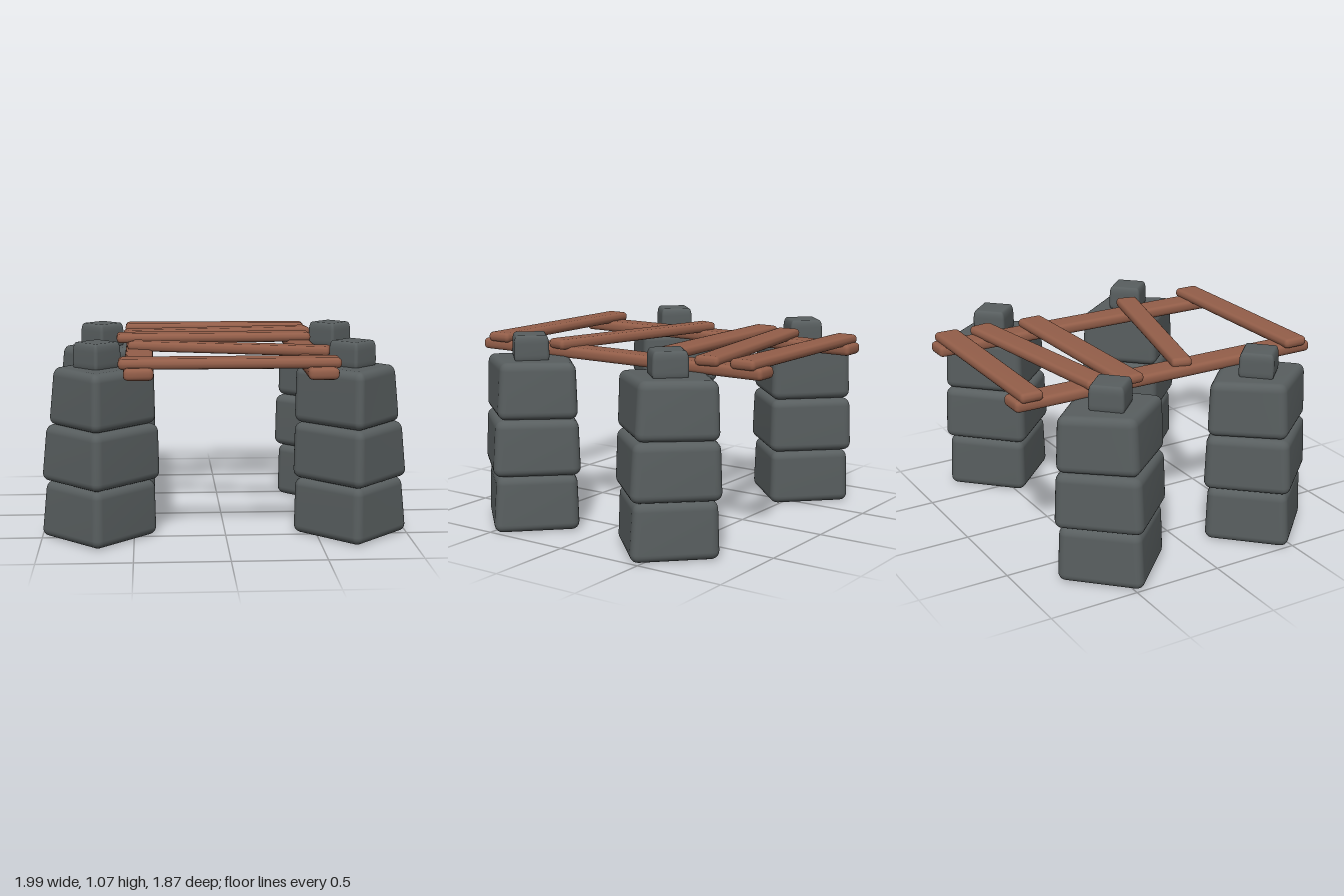
import * as THREE from 'three';
import { mergeVertices } from 'three/addons/utils/BufferGeometryUtils.js';
import { RoundedBoxGeometry } from 'three/addons/geometries/RoundedBoxGeometry.js';

const stone = new THREE.MeshStandardMaterial({ color: 0x585e5f });
stone.name = 'grey stone';
const wood = new THREE.MeshStandardMaterial({ color: 0x935e49 });
wood.name = 'brown wood';

// Moves every vertex by a rule, then rebuilds smooth normals.
function reshape(geometry, rule) {
  geometry.deleteAttribute('normal');
  geometry.deleteAttribute('uv');
  const merged = mergeVertices(geometry, 1e-4);
  const pos = merged.attributes.position;
  const v = new THREE.Vector3();
  for (let i = 0; i < pos.count; i++) {
    v.fromBufferAttribute(pos, i);
    rule(v);
    pos.setXYZ(i, v.x, v.y, v.z);
  }
  merged.computeVertexNormals();
  return merged;
}

// Diamond-set block; +x reaches outer, -x reaches inner, +-z reaches depth.
function block(name, { outer, inner, depth, y0, y1, taper, radius }) {
  const h = y1 - y0;
  const side = 0.46, reach = side / Math.SQRT2 - radius * (Math.SQRT2 - 1);
  const g = new RoundedBoxGeometry(side, h, side, 3, radius);
  g.rotateY(Math.PI / 4);
  const mesh = new THREE.Mesh(reshape(g, (v) => {
    const t = v.y / h + 0.5;
    v.x *= (v.x > 0 ? outer * (1 - taper * t) : inner * (1 - 0.02 * t)) / reach;
    v.z *= depth * (1 - 0.04 * t) / reach;
  }), stone);
  mesh.name = name;
  mesh.position.y = (y0 + y1) / 2;
  return mesh;
}

// Bevelled board between two points [x, z], with a width at each end.
function board(name, a, b, y0, y1, widthA, widthB = widthA) {
  const dx = b[0] - a[0], dz = b[1] - a[1];
  const length = Math.hypot(dx, dz), h = y1 - y0;
  const g = new RoundedBoxGeometry(length, h, 0.14, 2, 0.024);
  const mesh = new THREE.Mesh(reshape(g, (v) => {
    const t = v.x / length + 0.5;
    v.z *= (widthA + (widthB - widthA) * t) / 0.14;
  }), wood);
  mesh.name = name;
  mesh.position.set((a[0] + b[0]) / 2, (y0 + y1) / 2, (a[1] + b[1]) / 2);
  mesh.rotation.y = Math.atan2(-dz, dx);
  return mesh;
}

function pillar(name, x, z, innerMiddle) {
  const group = new THREE.Group();
  group.name = name;
  group.add(
    block('bottomStone', { outer: 0.31, inner: 0.31, depth: 0.315, y0: 0.005, y1: 0.315, taper: 0.1, radius: 0.045 }),
    block('middleStone', { outer: 0.305, inner: innerMiddle, depth: 0.33, y0: 0.315, y1: 0.625, taper: 0.1, radius: 0.045 }),
    block('topStone', { outer: 0.26, inner: 0.31, depth: 0.315, y0: 0.625, y1: 0.935, taper: 0.12, radius: 0.045 }),
    block('capStone', { outer: 0.128, inner: 0.128, depth: 0.13, y0: 0.92, y1: 1.07, taper: 0.04, radius: 0.045 }),
  );
  // Turn the outer corner away from the middle of the table
  group.rotation.y = x < 0 ? Math.PI : 0;
  group.position.set(x, 0, z);
  return group;
}

export function createModel() {
  const model = new THREE.Group();
  model.name = 'stoneAndPlankFrame';

  // Four stacked stone pillars
  model.add(
    pillar('frontLeftPillar', 0.69, 0.45, 0.315),
    pillar('frontRightPillar', -0.69, 0.45, 0.33),
    pillar('backLeftPillar', 0.69, -0.47, 0.33),
    pillar('backRightPillar', -0.69, -0.475, 0.315),
  );

  // Two long rails
  model.add(
    board('rightRail', [-0.465, -0.935], [-0.465, 0.915], 0.925, 0.988, 0.155),
    board('leftRail', [0.475, -0.935], [0.475, 0.93], 0.925, 0.988, 0.14, 0.16),
  );

  // Uneven cross planks
  const planks = [
    [[-0.555, -0.845], [0.565, -0.83], 0.13, 0.15],
    [[-0.555, -0.46], [0.57, -0.62], 0.145, 0.14],
    [[-0.6, -0.288], [0.545, -0.312], 0.15, 0.155],
    [[-0.52, 0.07], [0.58, 0.37], 0.115, 0.13],
    [[-0.57, 0.797], [0.575, 0.797], 0.145, 0.15],
  ];
  planks.forEach(([a, b, wa, wb], i) => {
    model.add(board(`crossPlank${i + 1}`, a, b, 0.975, 1.03, wa, wb));
  });

  return model;
}
